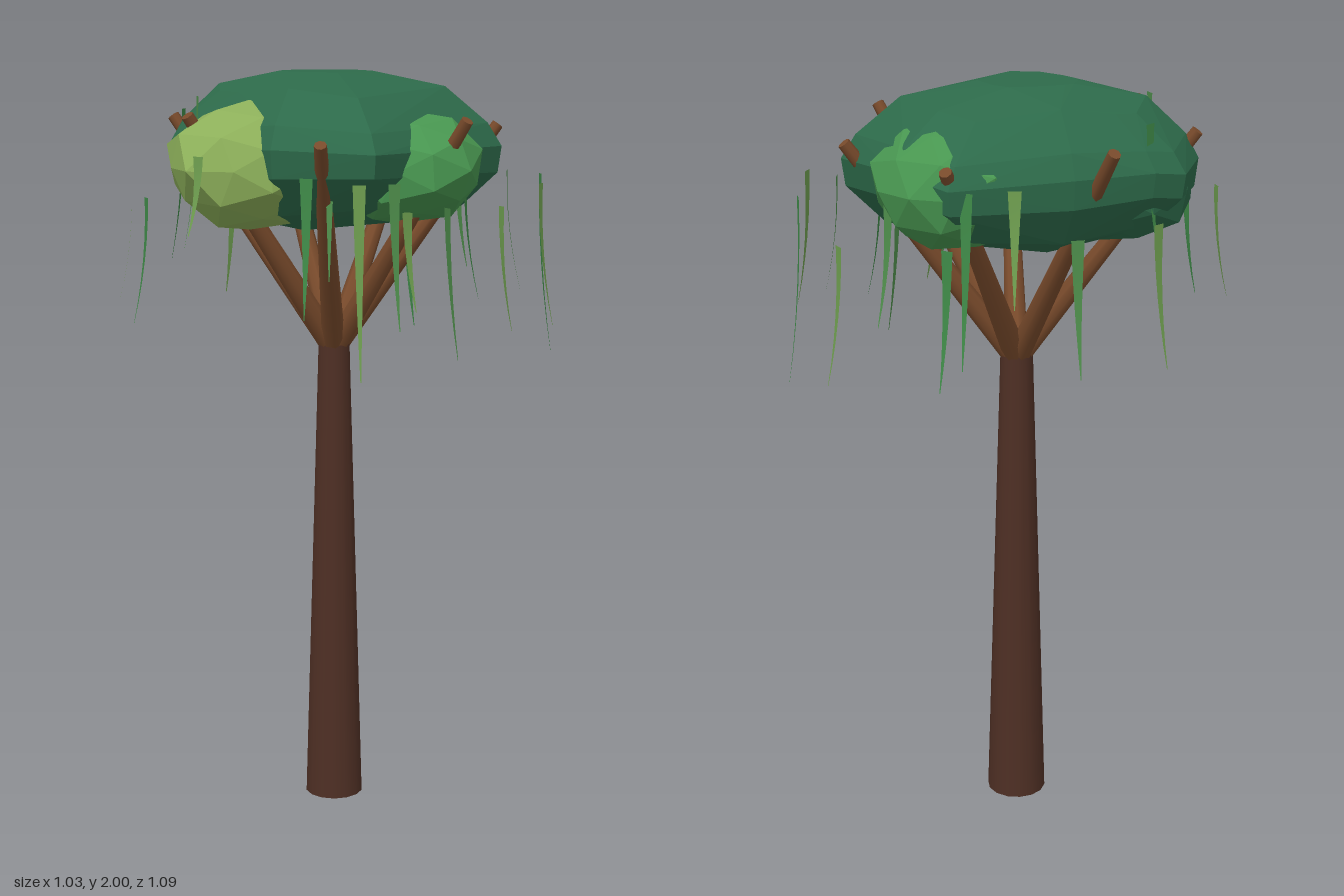
import * as THREE from 'three';
import { ConvexGeometry } from 'three/addons/geometries/ConvexGeometry.js';

const paint = (color, extra = {}) => new THREE.MeshStandardMaterial({ color, ...extra });
const facet = { flatShading: true };
const bark = paint(0x4e2f24);
const wood = paint(0x784a2b);
const darkLeaf = paint(0x2d6a4a, facet);
const midLeaf = paint(0x489650, facet);
const lightLeaf = paint(0x8db05a, facet);
const vineMaterials = [0x6f9f50, 0x3f8a48, 0x4f8f4c].map((c) => paint(c, { side: THREE.DoubleSide }));

const CX = 0.045, CZ = -0.045; // trunk axis

function add(group, name, geometry, material) {
  const mesh = new THREE.Mesh(geometry, material);
  mesh.name = name;
  group.add(mesh);
  return mesh;
}

// Lumpy low-poly ball; equal corners always get the same offset
function lump(rx, ry, rz, seed) {
  const geo = new THREE.IcosahedronGeometry(1, 1);
  const pos = geo.attributes.position;
  const v = new THREE.Vector3();
  for (let i = 0; i < pos.count; i++) {
    v.fromBufferAttribute(pos, i);
    const k = 1 + 0.07 * Math.sin(v.x * 5.1 + seed) * Math.cos(v.y * 4.3 + v.z * 6.7 + seed);
    pos.setXYZ(i, v.x * rx * k, v.y * ry * k, v.z * rz * k);
  }
  geo.computeVertexNormals();
  return geo;
}

// Flat leaf strip that tapers to a point and bows outward
function vineBlade(width, length, bow) {
  const geo = new THREE.PlaneGeometry(1, 1, 1, 6);
  const pos = geo.attributes.position;
  for (let i = 0; i < pos.count; i++) {
    const t = 0.5 - pos.getY(i);
    pos.setXYZ(i, pos.getX(i) * width * (1 - 0.93 * t), -t * length, bow * (t * t - 0.5));
  }
  geo.computeVertexNormals();
  return geo;
}

export function createModel() {
  const tree = new THREE.Group();
  tree.name = 'tree';

  // Trunk
  add(tree, 'trunk', new THREE.CylinderGeometry(0.041, 0.08, 1.34, 14), bark).position.set(CX, 0.67, CZ);

  // Branches fanning out from the trunk top
  const branches = new THREE.Group();
  branches.name = 'branches';
  tree.add(branches);
  const tips = [
    [-0.12, 1.88, -0.465], [-0.38, 1.9, -0.175], [-0.325, 1.84, 0.205], [0.02, 1.89, 0.395],
    [0.375, 1.86, 0.25], [0.49, 1.85, -0.12], [0.275, 1.89, -0.445],
  ];
  const root = new THREE.Vector3(CX, 1.27, CZ);
  const up = new THREE.Vector3(0, 1, 0);
  for (const tip of tips) {
    const end = new THREE.Vector3(...tip);
    const dir = end.clone().sub(root);
    const branch = add(branches, 'branch', new THREE.CylinderGeometry(0.016, 0.032, dir.length(), 8), wood);
    branch.position.copy(root).add(end).multiplyScalar(0.5);
    branch.quaternion.setFromUnitVectors(up, dir.normalize());
  }

  // Main crown: one outline, scaled ring by ring
  const crown = new THREE.Group();
  crown.name = 'crown';
  tree.add(crown);
  const outline = [
    [0.05, -0.52], [-0.12, -0.47], [-0.22, -0.38], [-0.29, -0.22], [-0.35, 0.07], [-0.23, 0.3],
    [0.32, 0.3], [0.47, 0.04], [0.495, -0.13], [0.29, -0.35], [0.13, -0.48],
  ];
  const rings = [[0.28, 2.0], [0.68, 1.955], [0.92, 1.87], [1, 1.815], [0.98, 1.75], [0.78, 1.66], [0.4, 1.61]];
  const points = [];
  for (const [s, y] of rings) {
    outline.forEach(([x, z], i) => {
      const wave = s > 0.3 ? 0.012 * Math.sin(i * 2.4 + y * 9) : 0;
      points.push(new THREE.Vector3(0.07 + (x - 0.07) * s, y + wave, -0.1 + (z + 0.1) * s));
    });
  }
  add(crown, 'mainFoliage', new ConvexGeometry(points), darkLeaf);

  // Smaller clumps around the crown: name, material, centre, radii
  const clumps = [
    ['frontClump', midLeaf, [0.04, 1.765, 0.17], [0.2, 0.145, 0.225]],
    ['leftClump', midLeaf, [0.31, 1.78, -0.03], [0.2, 0.16, 0.21]],
    ['rightClump', lightLeaf, [-0.22, 1.77, -0.11], [0.225, 0.165, 0.21]],
    ['backClump', darkLeaf, [0.0, 1.76, -0.3], [0.2, 0.15, 0.2]],
  ];
  clumps.forEach(([name, material, centre, radii], i) => {
    add(crown, name, lump(...radii, i * 1.7), material).position.set(...centre);
  });

  // Hanging vines: x, z, top, bottom
  const vines = new THREE.Group();
  vines.name = 'vines';
  tree.add(vines);
  const hang = [
    [0.175, -0.53, 1.71, 1.36], [0.1, -0.465, 1.93, 1.58], [0.45, -0.455, 1.72, 1.4], [0.48, -0.3, 1.82, 1.55],
    [0.485, -0.165, 1.8, 1.38], [0.485, 0.065, 1.75, 1.45], [0.495, 0.21, 1.63, 1.28], [0.455, 0.36, 1.73, 1.25],
    [0.285, 0.365, 1.75, 1.44], [0.195, 0.525, 1.73, 1.37], [0.18, 0.305, 1.74, 1.42], [-0.16, 0.315, 1.74, 1.38],
    [-0.33, 0.33, 1.75, 1.28], [-0.36, 0.185, 1.76, 1.42], [-0.24, 0.165, 1.9, 1.5], [-0.5, -0.05, 1.81, 1.62],
    [-0.415, -0.315, 1.69, 1.37], [-0.25, -0.285, 1.94, 1.55], [-0.34, -0.44, 1.7, 1.4], [-0.145, -0.43, 1.9, 1.5],
    [0.045, 0.34, 1.73, 1.28], [-0.05, 0.28, 1.66, 1.41], [0.4, -0.05, 1.63, 1.28],
  ];
  hang.forEach(([x, z, top, bottom], i) => {
    const vine = add(vines, 'vine', vineBlade(0.032, top - bottom, 0.04), vineMaterials[i % 3]);
    vine.position.set(x, top, z);
    vine.rotation.y = Math.atan2(x - CX, z - CZ);
  });

  return tree;
}
